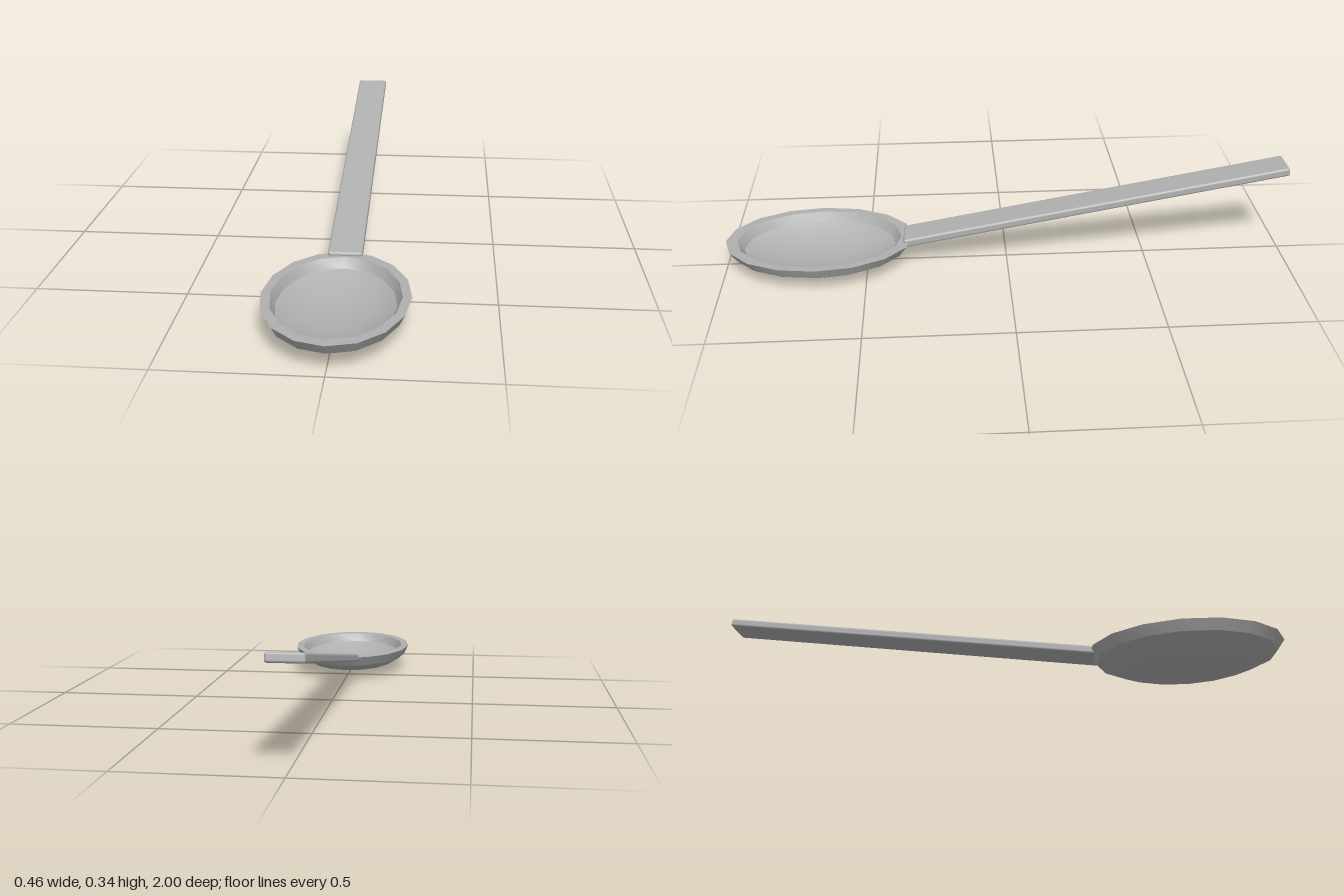
import * as THREE from 'three';
import { toCreasedNormals } from 'three/addons/utils/BufferGeometryUtils.js';
import { RoundedBoxGeometry } from 'three/addons/geometries/RoundedBoxGeometry.js';

const HALF_WIDTH = 0.231, HALF_LENGTH = 0.332, DEPTH = 0.095;
const INNER = 0.876; // size of the hollow relative to the outside

// Half-dome outside, flat rim, smaller half-dome inside
function createBowlGeometry() {
  const arc = [0, 1, 2, 3, 4].map((i) => i * Math.PI / 8);
  const dome = (scale) => arc.map((a) => new THREE.Vector2(Math.sin(a) * scale, 1 - Math.cos(a) * scale));
  const profile = [...dome(1), ...dome(INNER).reverse()];
  const lathe = new THREE.LatheGeometry(profile, 16);
  // crease at a large size so that nearby corners stay distinct
  lathe.scale(HALF_WIDTH * 1000, DEPTH * 1000, HALF_LENGTH * 1000);
  const bowl = toCreasedNormals(lathe, Math.PI / 6);
  bowl.scale(0.001, 0.001, 0.001);
  return bowl;
}

export function createModel() {
  const metal = new THREE.MeshStandardMaterial({ color: 0xb0b0b0 });
  metal.name = 'grey metal';
  const spoon = new THREE.Group();
  spoon.name = 'spoon';

  const bowl = new THREE.Mesh(createBowlGeometry(), metal);
  bowl.name = 'bowl';
  bowl.position.z = 0.667;
  spoon.add(bowl);

  // Straight bar rising towards the back
  const handle = new THREE.Mesh(new RoundedBoxGeometry(0.114, 0.03, 1.385, 2, 0.008), metal);
  handle.name = 'handle';
  handle.position.set(0, 0.211, -0.315);
  handle.rotation.x = THREE.MathUtils.degToRad(10);
  spoon.add(handle);

  return spoon;
}
